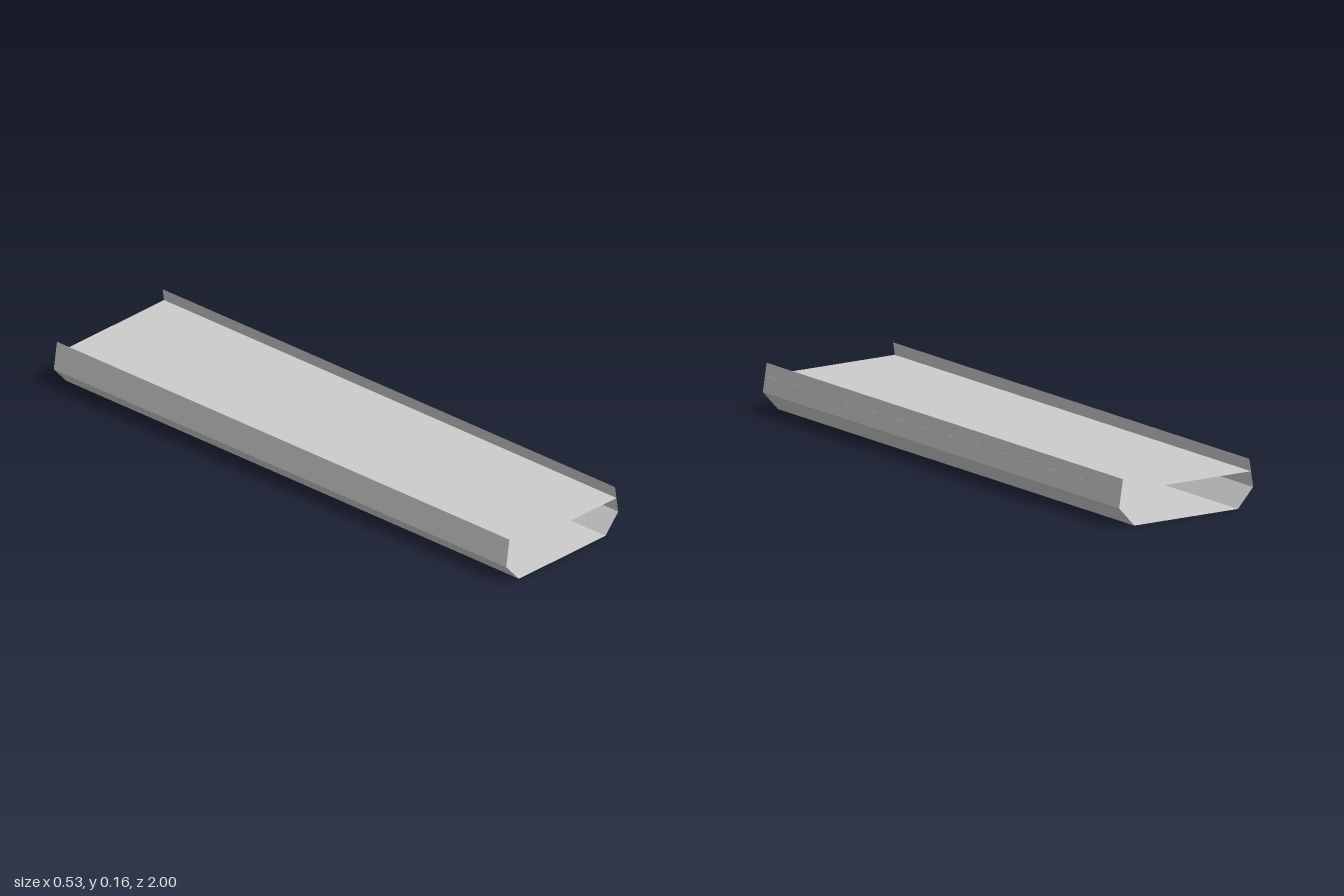
import * as THREE from 'three';

const LENGTH = 2;
const material = new THREE.MeshStandardMaterial({ color: 0xcccccc, flatShading: true, side: THREE.DoubleSide });

// Thin sheet running the full length between two points of the cross-section
function panel(name, [x1, y1], [x2, y2]) {
  const geometry = new THREE.PlaneGeometry(Math.hypot(x2 - x1, y2 - y1), LENGTH);
  geometry.rotateX(-Math.PI / 2);
  geometry.rotateZ(Math.atan2(y2 - y1, x2 - x1));
  geometry.translate((x1 + x2) / 2, (y1 + y2) / 2, 0);
  const mesh = new THREE.Mesh(geometry, material);
  mesh.name = name;
  return mesh;
}

export function createModel() {
  const group = new THREE.Group();
  group.name = 'openTrough';

  // Half cross-section: floor edge, widest fold, deck joint, rim
  const floor = [0.204, 0], fold = [0.264, 0.065], deck = [0.256, 0.118], rim = [0.249, 0.16];
  const mirror = ([x, y]) => [-x, y];

  group.add(panel('floor', mirror(floor), floor));
  group.add(panel('deck', mirror(deck), deck));

  // Left side, wound so its faces point outward
  group.add(panel('leftLowerSide', fold, floor));
  group.add(panel('leftWall', rim, fold));

  // Right side
  group.add(panel('rightLowerSide', mirror(floor), mirror(fold)));
  group.add(panel('rightWall', mirror(fold), mirror(rim)));

  return group;
}
